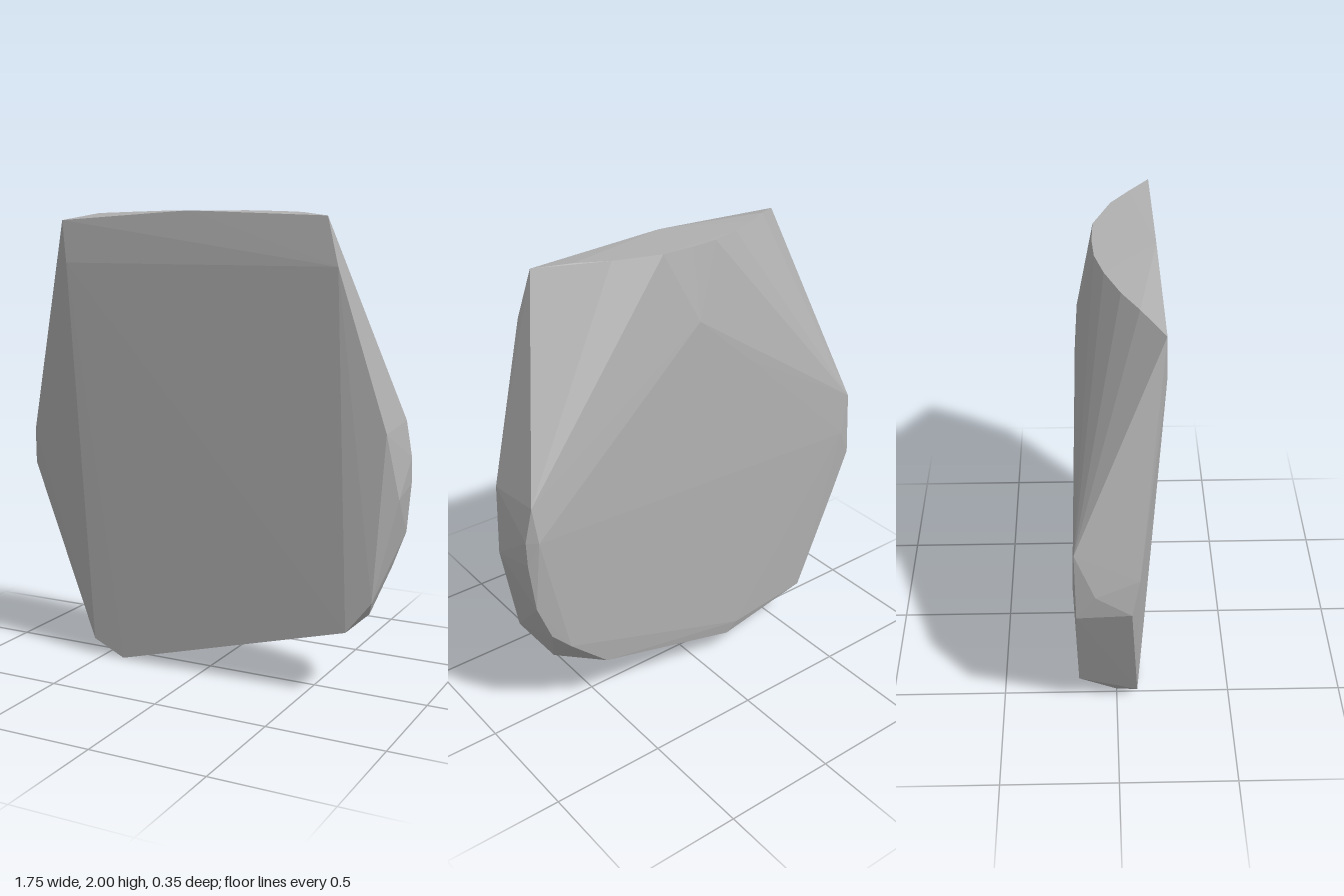
import * as THREE from 'three';
import { ConvexGeometry } from 'three/addons/geometries/ConvexGeometry.js';

const stone = new THREE.MeshStandardMaterial({ color: 0xb0b0b0, flatShading: true });
stone.name = 'grey stone';

// Corner points of the chipped slab, grouped by region: [x, y, z]
const frontRim = [
  [-0.63, 1.96, 0.17], [-0.02, 1.998, 0.16], [0.59, 1.975, 0.155], [0.645, 1.78, 0.176],
  [0.835, 1.13, 0.11], [0.875, 0.86, 0.055], [0.785, 0.43, 0.10], [0.68, 0.295, 0.115],
  [-0.40, 0, 0.09], [-0.55, 0.07, 0.09], [-0.88, 0.86, 0.05], [-0.86, 1.02, 0.08],
  [-0.61, 1.78, 0.176],
];
const topArc = [
  [-0.5, 1.99, 0.08], [-0.39, 1.995, 0.015], [-0.25, 2, -0.045], [-0.12, 2, -0.08],
  [0, 2, -0.088], [0.14, 2, -0.083], [0.33, 1.995, -0.01], [0.45, 1.99, 0.07],
];
const backRim = [
  [0.01, 1.71, -0.15], [-0.25, 1.47, -0.16], [-0.835, 1.13, -0.17], [-0.875, 0.95, -0.09],
  [-0.86, 0.83, -0.165], [-0.78, 0.64, -0.167], [-0.59, 0.19, -0.165], [-0.15, 0.10, -0.165],
  [-0.2, 0.15, -0.175], [0.52, 0.27, -0.165], [0.7, 0.44, -0.175], [0.78, 0.52, -0.16],
  [0.84, 0.68, -0.155], [0.86, 0.89, -0.145], [0.86, 1.0, -0.14], [0.83, 1.15, -0.15],
  [0.82, 1.0, -0.175], [-0.8, 0.95, -0.178],
];
const lowerChips = [[0.72, 0.33, -0.06], [-0.51, 0.03, 0]];

export function createModel() {
  const group = new THREE.Group();
  group.name = 'stoneSlab';

  // One faceted convex rock
  const points = [...frontRim, ...topArc, ...backRim, ...lowerChips]
    .map((p) => new THREE.Vector3(...p));
  const slab = new THREE.Mesh(new ConvexGeometry(points), stone);
  slab.name = 'slab';
  group.add(slab);
  return group;
}
